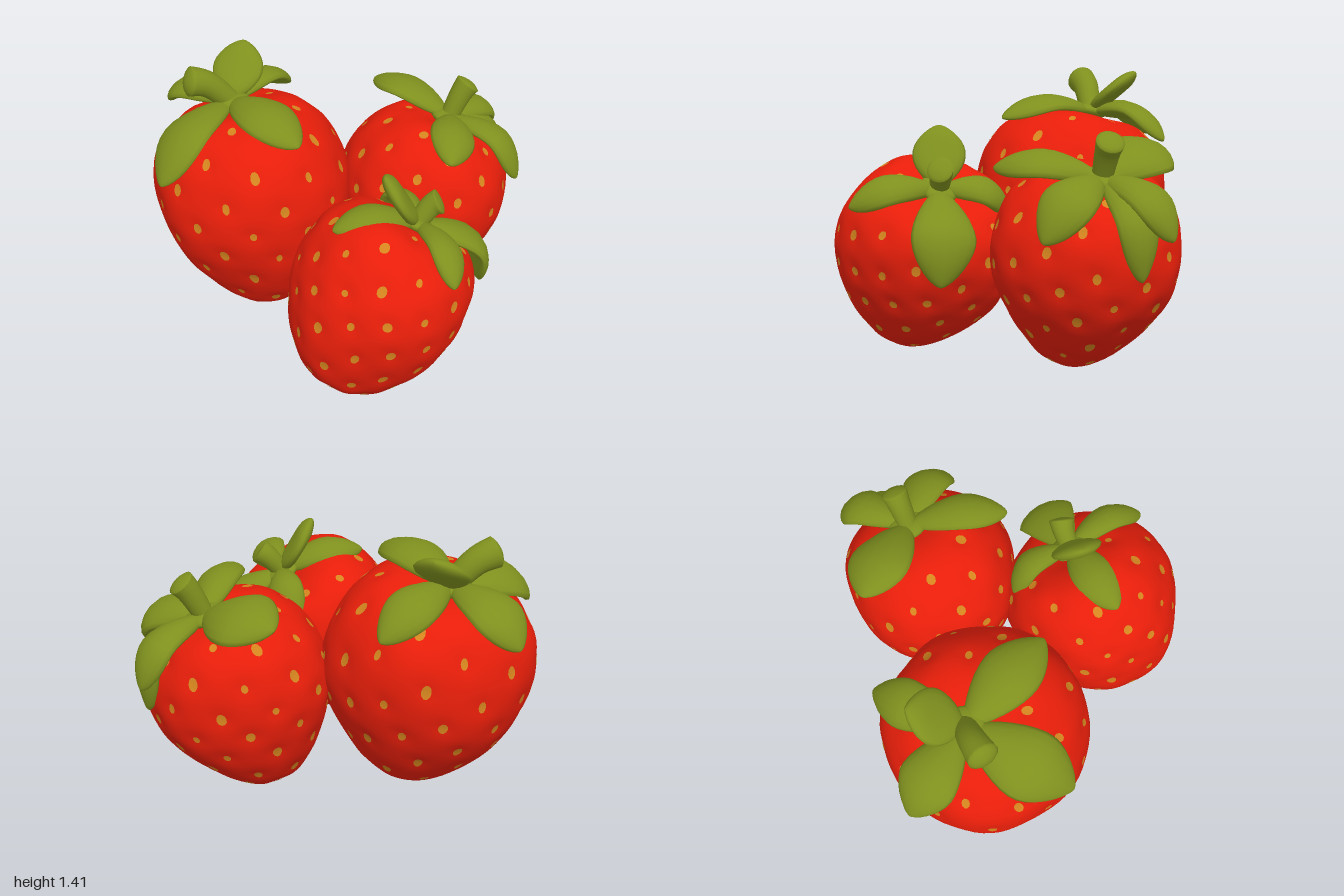
import * as THREE from 'three';
import { mergeGeometries, mergeVertices } from 'three/addons/utils/BufferGeometryUtils.js';

const V = (a) => new THREE.Vector3(a[0], a[1], a[2]);

// Half outline of a berry, tip to crown: radius, height
const PROFILE = new THREE.CatmullRomCurve3([
  [0, 0], [0.2, 0.01], [0.42, 0.06], [0.65, 0.18], [0.87, 0.36], [0.98, 0.52],
  [0.99, 0.66], [0.9, 0.82], [0.66, 0.95], [0.35, 0.995], [0, 0.97],
].map(([r, y]) => new THREE.Vector3(r, y, 0)));

// Leaves are given by their tip and width, stems by their end and radius
const BERRIES = [
  {
    name: 'largeBerry', tip: [-0.36, 0.015, -0.2], top: [-0.53, 1.15, -0.38], radius: 0.535, blunt: 1,
    neck: [-0.56, 1.165, -0.42],
    leaves: [[-0.89, 1.0, -0.76, 0.3], [-0.25, 1.04, -0.82, 0.25], [-0.92, 0.94, 0.04, 0.36],
      [-0.21, 1.16, 0.05, 0.3], [-0.48, 1.39, -0.67, 0.28]],
    stem: [-0.79, 1.33, -0.355, 0.078],
  },
  {
    name: 'mediumBerry', tip: [0.33, 0.01, -0.34], top: [0.6, 0.98, -0.46], radius: 0.468, blunt: 1,
    neck: [0.63, 0.98, -0.49],
    leaves: [[0.24, 1.06, -0.79, 0.36], [0.88, 0.73, -0.82, 0.24], [0.98, 0.73, -0.23, 0.27],
      [0.57, 1.01, 0.03, 0.25], [0.89, 0.54, -0.68, 0.22]],
    stem: [0.74, 1.18, -0.53, 0.068],
  },
  {
    name: 'frontBerry', tip: [-0.06, 0.05, 0.585], top: [0.36, 0.86, 0.3], radius: 0.468, blunt: 0.85,
    neck: [0.37, 0.87, 0.32],
    leaves: [[-0.06, 0.95, 0.47, 0.24], [0.23, 0.73, -0.01, 0.2], [0.72, 0.45, 0.27, 0.32],
      [0.51, 0.79, 0.75, 0.21], [0.2, 1.17, 0.34, 0.27]],
    stem: [0.49, 0.99, 0.3, 0.065],
  },
];

// Closed loft along a curve with oval sections; shape(s) gives [halfWidth, halfThickness, droop]
function loft(curve, side, shape, stations = 18, ring = 16) {
  const pos = [], index = [];
  for (let i = 0; i <= stations; i++) {
    const s = (1 - Math.cos(Math.PI * i / stations)) / 2;
    const c = curve.getPoint(s);
    const t = curve.getTangent(s);
    const across = side.clone().addScaledVector(t, -side.dot(t)).normalize();
    const up = t.clone().cross(across);
    const [w, h, droop] = shape(s);
    for (let j = 0; j < ring; j++) {
      const a = 2 * Math.PI * j / ring, x = Math.cos(a);
      const p = c.clone().addScaledVector(across, x * w).addScaledVector(up, Math.sin(a) * h - droop * x * x);
      pos.push(p.x, p.y, p.z);
      if (i < stations) {
        const k = (j + 1) % ring, n = i * ring;
        index.push(n + j, n + k, n + ring + j, n + k, n + ring + k, n + ring + j);
      }
    }
  }
  const g = new THREE.BufferGeometry();
  g.setAttribute('position', new THREE.Float32BufferAttribute(pos, 3));
  g.setIndex(index);
  g.computeVertexNormals();
  return g;
}

function remap(geometry, fn) {
  const p = geometry.attributes.position;
  for (let i = 0; i < p.count; i++) {
    const q = fn(i, p);
    p.setXYZ(i, q.x, q.y, q.z);
  }
  return geometry;
}

export function createModel() {
  const red = new THREE.MeshStandardMaterial({ color: 0xe81e0a });
  red.name = 'berryRed';
  const green = new THREE.MeshStandardMaterial({ color: 0x7f901e });
  green.name = 'leafGreen';
  const gold = new THREE.MeshStandardMaterial({ color: 0xd4841e });
  gold.name = 'seedGold';

  const model = new THREE.Group();
  model.name = 'strawberries';

  BERRIES.forEach((b, n) => {
    const group = new THREE.Group();
    group.name = b.name;
    model.add(group);
    const add = (name, geometry, material) => {
      const mesh = new THREE.Mesh(geometry, material);
      mesh.name = name;
      group.add(mesh);
    };

    const tip = V(b.tip), top = V(b.top);
    const axis = top.clone().sub(tip);
    const height = axis.length();
    const turn = new THREE.Quaternion().setFromUnitVectors(new THREE.Vector3(0, 1, 0), axis.normalize());
    const centre = tip.clone().lerp(top, 0.6);
    const phase = 0.4 + n * 1.9;

    // Smooth body point in the berry's own frame
    const smooth = (theta, v) => {
      const q = PROFILE.getPoint(THREE.MathUtils.clamp(v, 0, 1));
      const r = Math.pow(Math.max(0, q.x), b.blunt) * b.radius;
      return new THREE.Vector3(-Math.cos(theta) * r, q.y * height, Math.sin(theta) * r);
    };

    // Seeds spread in a golden-angle spiral, each sitting in a dimple
    const seeds = [];
    for (let i = 0; i < 84; i++) {
      const v = Math.acos(1 - 2 * (i + 0.5) / 84) / Math.PI;
      const theta = i * 2.39996 + phase;
      if (v < 0.88) seeds.push({ theta, v, p: smooth(theta, v) });
    }
    const core = new THREE.Vector3(0, height * 0.6, 0);
    const surface = (theta, v, lift = 0) => {
      const p = smooth(theta, v);
      let d = lift + 0.009 * Math.sin(9 * p.x + phase) * Math.sin(8 * p.y) + 0.006 * Math.sin(13 * p.z + 7 * p.x);
      for (const s of seeds) d -= 0.013 * Math.exp(-p.distanceToSquared(s.p) / 0.0022);
      p.addScaledVector(p.clone().sub(core).normalize(), d);
      return p.applyQuaternion(turn).add(tip);
    };

    // Body
    const ball = new THREE.SphereGeometry(1, 80, 56);
    const uv = ball.attributes.uv;
    remap(ball, (i) => surface(uv.getX(i) * 2 * Math.PI, uv.getY(i)));
    ball.deleteAttribute('uv');
    ball.deleteAttribute('normal');
    const body = mergeVertices(ball, 1e-5);
    body.computeVertexNormals();
    add('berryBody', body, red);

    // Seed patches follow the dimpled skin
    const patches = seeds.map((s, i) => {
      const r = Math.max(0.05, Math.hypot(s.p.x, s.p.z));
      const size = 0.8 + 0.4 * Math.abs(Math.sin(i * 5.3));
      const g = remap(new THREE.CircleGeometry(1, 10), (k, p) => surface(
        s.theta + p.getX(k) * 0.021 * size / r, s.v + p.getY(k) * 0.016 * size, 0.006));
      g.computeVertexNormals();
      return g;
    });
    add('seeds', mergeGeometries(patches), gold);

    // Leaves: plump and rounded; low ones arch over the berry, raised ones stand straight
    const base = V(b.neck);
    for (const leaf of b.leaves) {
      const end = V(leaf), chord = end.clone().sub(base);
      const standing = chord.y > 0.15;
      const mid = base.clone().lerp(end, 0.5);
      const out = standing ? new THREE.Vector3(0, 1, 0) : mid.clone().sub(centre).normalize();
      mid.addScaledVector(out, standing ? 0 : 0.075 + 0.17 * Math.max(0, -chord.y));
      const across = out.clone().cross(chord).normalize();
      add('leaf', loft(new THREE.CatmullRomCurve3([base, mid, end]), across, (s) => {
        const f = Math.pow(Math.max(0, Math.sin(Math.PI * Math.pow(s, 1.1))), 0.65);
        const w = f * leaf[3] / 2;
        const h = 0.04 * Math.min(1, Math.sqrt(Math.max(0, s * (1 - s))) * 2.4);
        return [w, h, standing ? 0 : w * 0.2];
      }), green);
    }

    // Stem, slightly flared towards its cut end
    const stemEnd = V(b.stem);
    const bend = base.clone().lerp(stemEnd, 0.5).addScaledVector(axis, 0.04);
    const path = new THREE.CatmullRomCurve3([base, bend, stemEnd]);
    add('stem', loft(path, new THREE.Vector3(0.1, 0.1, 1), (s) => {
      const r = b.stem[3] * (0.75 + 0.3 * s) * Math.min(1, Math.sqrt(Math.max(0, 1 - s) * 9));
      return [r, r, 0];
    }), green);

    // Crown joining leaves and stem
    const crown = new THREE.SphereGeometry(0.1, 20, 12);
    crown.scale(1, 0.4, 1).applyQuaternion(turn).translate(base.x, base.y, base.z);
    add('crown', crown, green);
  });
  return model;
}
